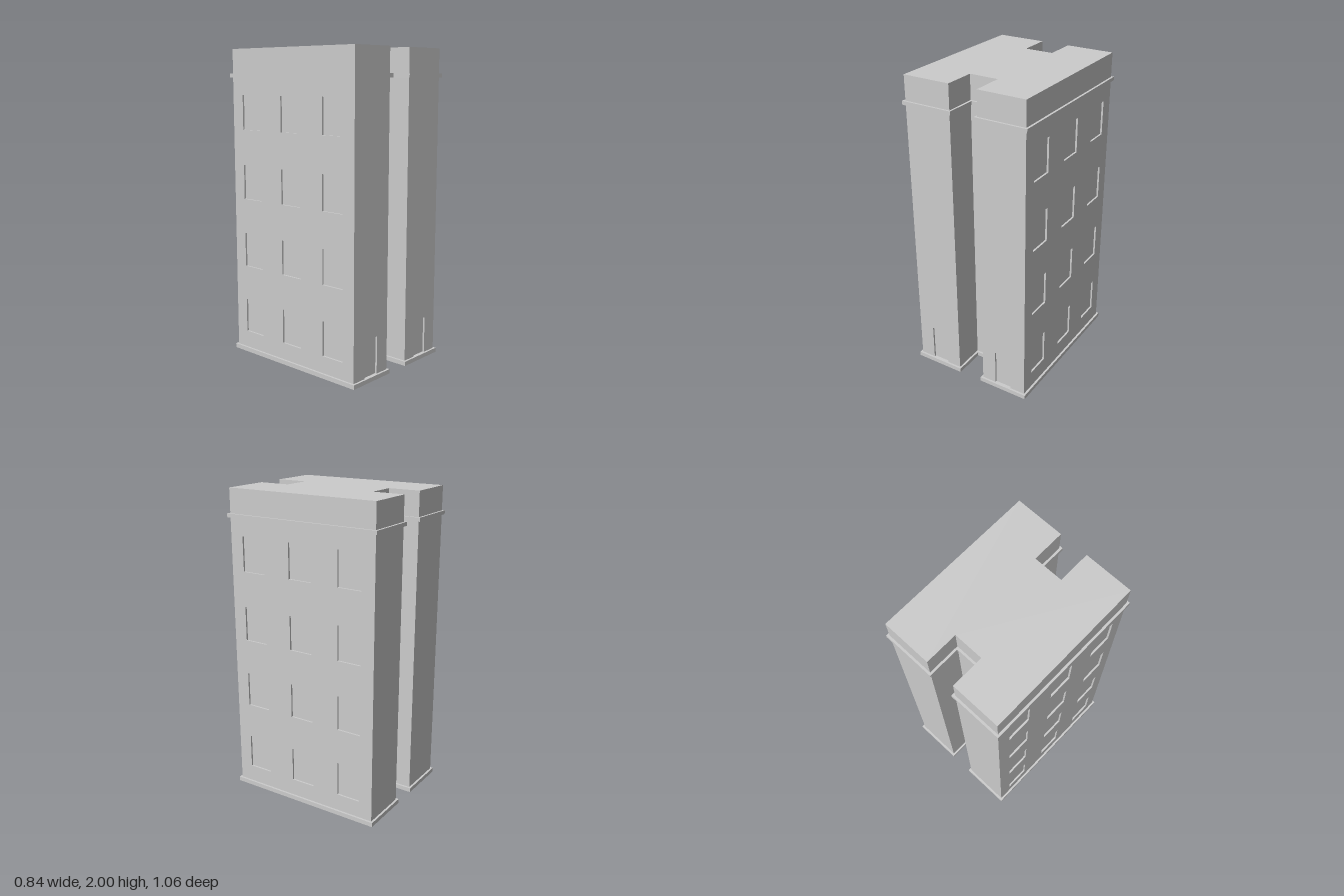
import * as THREE from 'three';

const W = 0.407, D = 0.517;           // wall half width and half depth
const NX = 0.094, NZ = 0.309;         // light-well half width and inner end
const LIP = 0.014, RECESS = 0.012;    // moulding overhang, opening depth
const PLINTH = 0.028, CORNICE = 1.82, CORNICE_TOP = 1.844, ROOF = 2;

export function createModel() {
  const group = new THREE.Group();
  const material = new THREE.MeshStandardMaterial({ color: 0xcccccc, flatShading: true });

  const add = (name, geometry) => {
    const mesh = new THREE.Mesh(geometry, material);
    mesh.name = name;
    group.add(mesh);
    return mesh;
  };

  // H-shaped storey between two heights, grown outward by a lip
  const block = (name, y0, y1, lip = 0, sideInset = 0, frontInset = 0) => {
    const w = W + lip - sideInset, back = D + lip, front = D + lip - frontInset;
    const nx = NX - lip, nz = NZ + lip;
    const outline = [
      [-w, -front], [-nx, -front], [-nx, -nz], [nx, -nz], [nx, -front], [w, -front],
      [w, back], [nx, back], [nx, nz], [-nx, nz], [-nx, back], [-w, back],
    ].map(([x, y]) => new THREE.Vector2(x, y));
    const geometry = new THREE.ExtrudeGeometry(new THREE.Shape(outline),
      { depth: y1 - y0, bevelEnabled: false });
    geometry.rotateX(-Math.PI / 2).translate(0, y0, 0);
    return add(name, geometry);
  };

  const rect = (Type, x0, y0, x1, y1) => new Type([
    new THREE.Vector2(x0, y0), new THREE.Vector2(x1, y0),
    new THREE.Vector2(x1, y1), new THREE.Vector2(x0, y1),
  ]);

  // Thin wall skin with openings
  const skin = (x0, x1, holes) => {
    const shape = rect(THREE.Shape, x0, 0, x1, CORNICE + 0.01);
    shape.holes = holes.map((h) => rect(THREE.Path, ...h));
    return new THREE.ExtrudeGeometry(shape, { depth: RECESS, bevelEnabled: false });
  };

  // Main masses and mouldings
  block('core', 0, CORNICE + 0.01, 0, RECESS, RECESS);
  block('roofBlock', CORNICE, ROOF);
  block('plinth', 0, PLINTH, LIP);
  block('cornice', CORNICE, CORNICE_TOP, LIP);

  // Window openings: four floors of three
  const windows = [];
  for (let floor = 0; floor < 4; floor++) {
    for (const z of [-0.347, 0, 0.347]) {
      const y = 0.138 + floor * 0.45;
      windows.push([z - 0.081, y, z + 0.081, y + 0.222]);
    }
  }

  for (const side of [1, -1]) {
    const label = side > 0 ? 'left' : 'right';

    // Side wall with windows
    const wall = add(`${label}WindowWall`, skin(-D, D, windows));
    wall.rotation.y = side * Math.PI / 2;
    wall.position.x = side * (W - RECESS);

    // Front wing wall with a recessed door
    const xs = [side * NX, side * (W - RECESS)].sort((a, b) => a - b);
    const doorX = side * 0.248;
    const front = add(`${label}DoorWall`,
      skin(xs[0], xs[1], [[doorX - 0.058, PLINTH, doorX + 0.058, 0.267]]));
    front.position.z = D - RECESS;
  }

  return group;
}
